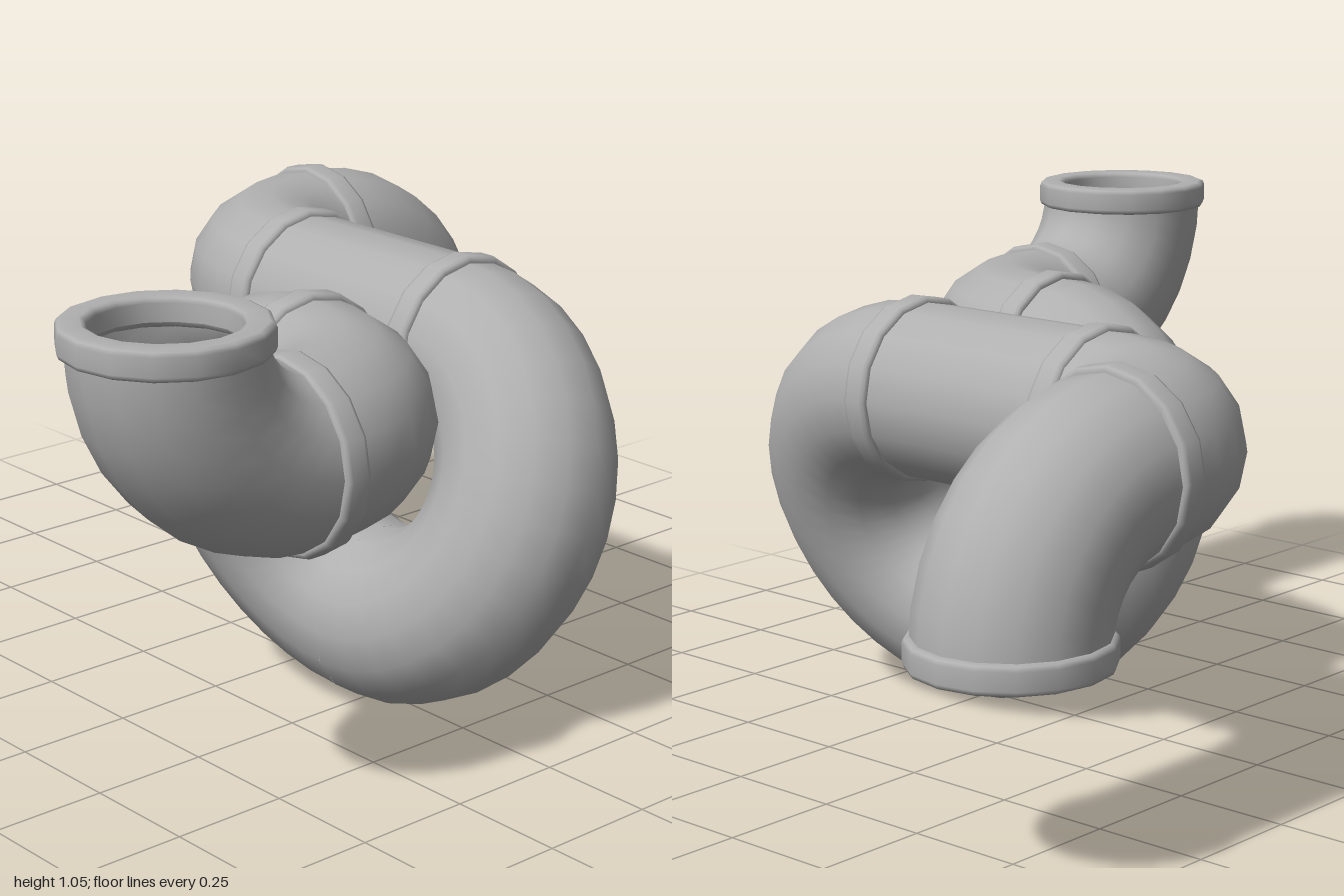
import * as THREE from 'three';

const BEND = 0.29; // centre-line radius of every bend
const PIPE = 0.187; // pipe radius
const SIDES = 16;

export function createModel() {
  const group = new THREE.Group();
  group.name = 'knottedPipe';
  const grey = new THREE.MeshStandardMaterial({ color: 0xb0b0b0, side: THREE.DoubleSide });
  grey.name = 'pipe grey';
  const v = (x, y, z) => new THREE.Vector3(x, y, z);

  const add = (name, geometry) => {
    const mesh = new THREE.Mesh(geometry, grey);
    mesh.name = name;
    group.add(mesh);
    return mesh;
  };

  // Curved pipe starting at a point, heading along a tangent, turning about a centre
  const bend = (name, start, tangent, centre, angle) => {
    const radial = start.clone().sub(centre).normalize();
    const axis = radial.clone().cross(tangent);
    const geometry = new THREE.TorusGeometry(BEND, PIPE, SIDES, Math.round(angle / (Math.PI / 16)), angle);
    geometry.applyMatrix4(new THREE.Matrix4().makeBasis(radial, tangent, axis).setPosition(centre));
    add(name, geometry);
  };

  // Rounded collar with a hole, wrapped round the pipe
  const half = 0.03, outer = 0.199, inner = 0.142, b = 0.012;
  const profile = [
    [inner, -half + b], [inner + b * 0.3, -half + b * 0.3], [inner + b, -half],
    [outer - b, -half], [outer - b * 0.3, -half + b * 0.3], [outer, -half + b],
    [outer, half - b], [outer - b * 0.3, half - b * 0.3], [outer - b, half],
    [inner + b, half], [inner + b * 0.3, half - b * 0.3], [inner, half - b], [inner, -half + b],
  ].map(([x, y]) => new THREE.Vector2(x, y));
  const collarGeometry = new THREE.LatheGeometry(profile, SIDES);
  const collar = (name, position, axis) => {
    const mesh = add(name, collarGeometry);
    mesh.position.copy(position);
    mesh.quaternion.setFromUnitVectors(v(0, 1, 0), axis);
  };

  const X = v(1, 0, 0), Y = v(0, 1, 0), Z = v(0, 0, 1);
  const y = 0.725; // height of the level runs
  const x0 = 0.25, x1 = x0 + BEND;
  const z0 = 0.215, z1 = z0 + BEND, z2 = z1 + BEND;
  const yLow = y - Math.sqrt(4 * BEND * BEND - z0 * z0);
  const right = Math.PI / 2;

  // Back end: rises from the lower opening, then turns into the level run
  bend('backEndElbow', v(-x1, y - BEND, -z2), Y, v(-x1, y - BEND, -z1), right);
  bend('backElbow', v(-x1, y, -z1), Z, v(-x0, y, -z1), right);

  // Level straight run
  const straight = new THREE.CylinderGeometry(PIPE, PIPE, 2 * x0, SIDES, 1, true);
  straight.rotateZ(right);
  add('straightPipe', straight).position.set(0, y, -z0);

  // Loop: two half turns tilted to meet at the bottom
  bend('backHalfLoop', v(x0, y, -z0), X, v(x0, (y + yLow) / 2, -z0 / 2), Math.PI);
  bend('frontHalfLoop', v(x0, yLow, 0), X.clone().negate(), v(x0, (y + yLow) / 2, z0 / 2), Math.PI);

  // Front end: turns forward, then up to the upper opening
  bend('frontElbow', v(x0, y, z0), X, v(x0, y, z1), right);
  bend('frontEndElbow', v(x1, y, z1), Z, v(x1, y + BEND, z1), right);

  // Collars at the joints and openings
  collar('backEndCollar', v(-x1, y - BEND, -z2), Y);
  collar('backElbowCollar', v(-x1, y, -z1), Z);
  collar('straightStartCollar', v(-x0, y, -z0), X);
  collar('straightEndCollar', v(x0, y, -z0), X);
  collar('loopEndCollar', v(x0, y, z0), X);
  collar('frontElbowCollar', v(x1, y, z1), Z);
  collar('frontEndCollar', v(x1, y + BEND, z2), Y);

  return group;
}
